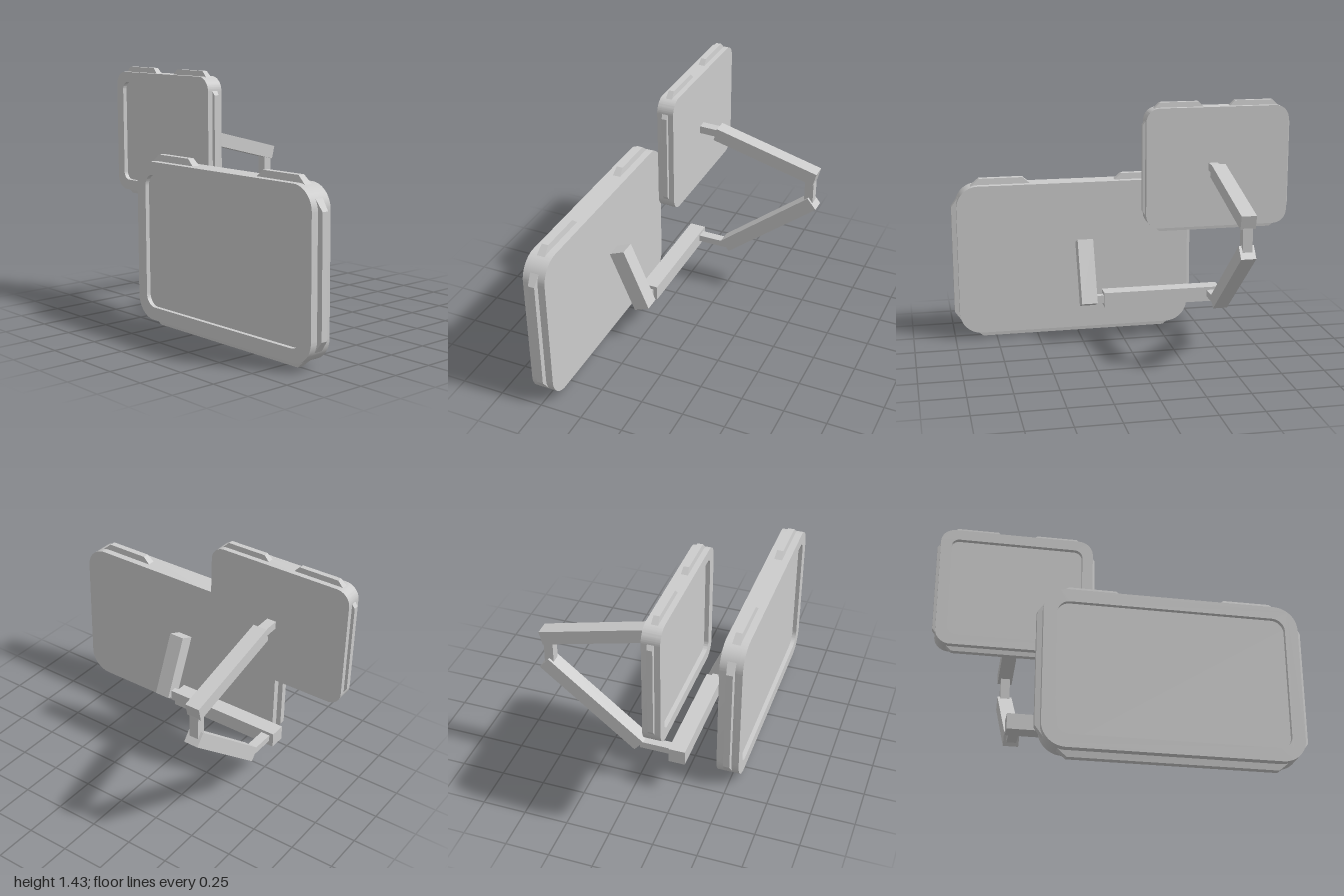
import * as THREE from 'three';
import { toCreasedNormals } from 'three/addons/utils/BufferGeometryUtils.js';

const material = new THREE.MeshStandardMaterial({ color: 0xcccccc });

function add(parent, name, geometry, x = 0, y = 0, z = 0) {
  const mesh = new THREE.Mesh(geometry, material);
  mesh.name = name;
  mesh.position.set(x, y, z);
  parent.add(mesh);
  return mesh;
}

function roundedRect(Type, w, h, r) {
  const p = new Type();
  const x = w / 2 - r, y = h / 2 - r;
  p.absarc(x, y, r, 0, Math.PI / 2);
  p.absarc(-x, y, r, Math.PI / 2, Math.PI);
  p.absarc(-x, -y, r, Math.PI, Math.PI * 1.5);
  p.absarc(x, -y, r, Math.PI * 1.5, Math.PI * 2);
  p.closePath();
  return p;
}

function extrude(shape, depth) {
  const g = new THREE.ExtrudeGeometry(shape, { depth, bevelEnabled: false, curveSegments: 12 });
  return toCreasedNormals(g, 0.5);
}

// Bumper: a box whose outer face shrinks towards the tip
function bumper(length, tipLength, height, width, tipWidth) {
  const g = new THREE.BoxGeometry(length, height, width).toNonIndexed();
  const p = g.attributes.position;
  for (let i = 0; i < p.count; i++) {
    if (p.getY(i) > 0) {
      p.setX(i, p.getX(i) * tipLength / length);
      p.setZ(i, p.getZ(i) * tipWidth / width);
    }
  }
  g.computeVertexNormals();
  return g;
}

// Screen: back slab, raised bezel and bumpers on all four edges
function screen(name, s) {
  const group = new THREE.Group();
  group.name = name;
  const w = s.x[1] - s.x[0], h = s.y[1] - s.y[0], d = s.z[1] - s.z[0];
  const cx = (s.x[0] + s.x[1]) / 2, cy = (s.y[0] + s.y[1]) / 2, cz = (s.z[0] + s.z[1]) / 2;
  const recess = 0.025;
  add(group, 'backPanel', extrude(roundedRect(THREE.Shape, w, h, s.radius), d - recess), cx, cy, s.z[0]);
  const ring = roundedRect(THREE.Shape, w, h, s.radius);
  ring.holes.push(roundedRect(THREE.Path, w - 2 * s.rim, h - 2 * s.rim, s.innerRadius));
  add(group, 'bezel', extrude(ring, recess), cx, cy, s.z[1] - recess);

  const sink = 0.015;
  const pad = (padName, x, y, angle, tipLength, rise) => {
    const height = rise + sink;
    const g = bumper(tipLength + 2 * s.slope, tipLength, height, s.padWidth, s.padWidth * 0.75);
    g.translate(0, height / 2 - sink, 0);
    add(group, padName, g, x, y, cz).rotation.z = angle;
  };
  for (const [a, b] of s.topPads) pad('topBumper', (a + b) / 2, s.y[1], 0, b - a, s.rise[0]);
  const [a, b] = [s.topPads[0][0], s.topPads[1][1]];
  pad('bottomBumper', (a + b) / 2, s.y[0], Math.PI, b - a, s.rise[1]);
  pad('leftBumper', s.x[1], cy, -Math.PI / 2, s.sidePad, s.rise[2]);
  pad('rightBumper', s.x[0], cy, Math.PI / 2, s.sidePad, s.rise[2]);
  return group;
}

// Bar running between two [z, y] points at a fixed x
function bar(parent, name, x, width, thickness, [z1, y1], [z2, y2]) {
  const g = new THREE.BoxGeometry(width, thickness, Math.hypot(z2 - z1, y2 - y1));
  const mesh = add(parent, name, g, x, (y1 + y2) / 2, (z1 + z2) / 2);
  mesh.rotation.x = -Math.atan2(y2 - y1, z2 - z1);
}

export function createModel() {
  const model = new THREE.Group();
  model.name = 'linkedScreens';

  model.add(screen('largeScreen', {
    x: [-0.43, 0.97], y: [0.035, 0.94], z: [0.43, 0.56],
    radius: 0.13, rim: 0.073, innerRadius: 0.07,
    topPads: [[-0.29, -0.03], [0.57, 0.83]], sidePad: 0.65,
    rise: [0.037, 0.035, 0.028], slope: 0.06, padWidth: 0.05,
  }));
  model.add(screen('smallScreen', {
    x: [-0.983, -0.123], y: [0.692, 1.405], z: [0.195, 0.293],
    radius: 0.08, rim: 0.06, innerRadius: 0.045,
    topPads: [[-0.89, -0.66], [-0.44, -0.21]], sidePad: 0.51,
    rise: [0.03, 0.025, 0.016], slope: 0.045, padWidth: 0.04,
  }));

  // Folding arm: beams joined by thinner pegs
  const arm = new THREE.Group();
  arm.name = 'foldingArm';
  model.add(arm);
  const ax = -0.525;
  bar(arm, 'smallScreenPeg', ax, 0.055, 0.045, [0.2, 1.053], [0.07, 1.05]);
  bar(arm, 'upperBeam', ax, 0.085, 0.08, [0.09, 1.05], [-0.537, 0.888]);
  bar(arm, 'elbowPeg', ax, 0.055, 0.053, [-0.502, 0.88], [-0.502, 0.72]);
  bar(arm, 'middleBeam', ax, 0.085, 0.083, [-0.528, 0.722], [0.017, 0.275]);
  bar(arm, 'lowerPeg', ax, 0.055, 0.04, [0.02, 0.274], [0.2, 0.274]);
  add(arm, 'crossBeam', new THREE.BoxGeometry(0.706, 0.088, 0.096), -0.225, 0.268, 0.243);
  add(arm, 'crossPeg', new THREE.BoxGeometry(0.07, 0.045, 0.038), 0.15, 0.268, 0.238);
  bar(arm, 'largeScreenBeam', 0.218, 0.094, 0.097, [0.23, 0.236], [0.38, 0.593]);

  return model;
}
